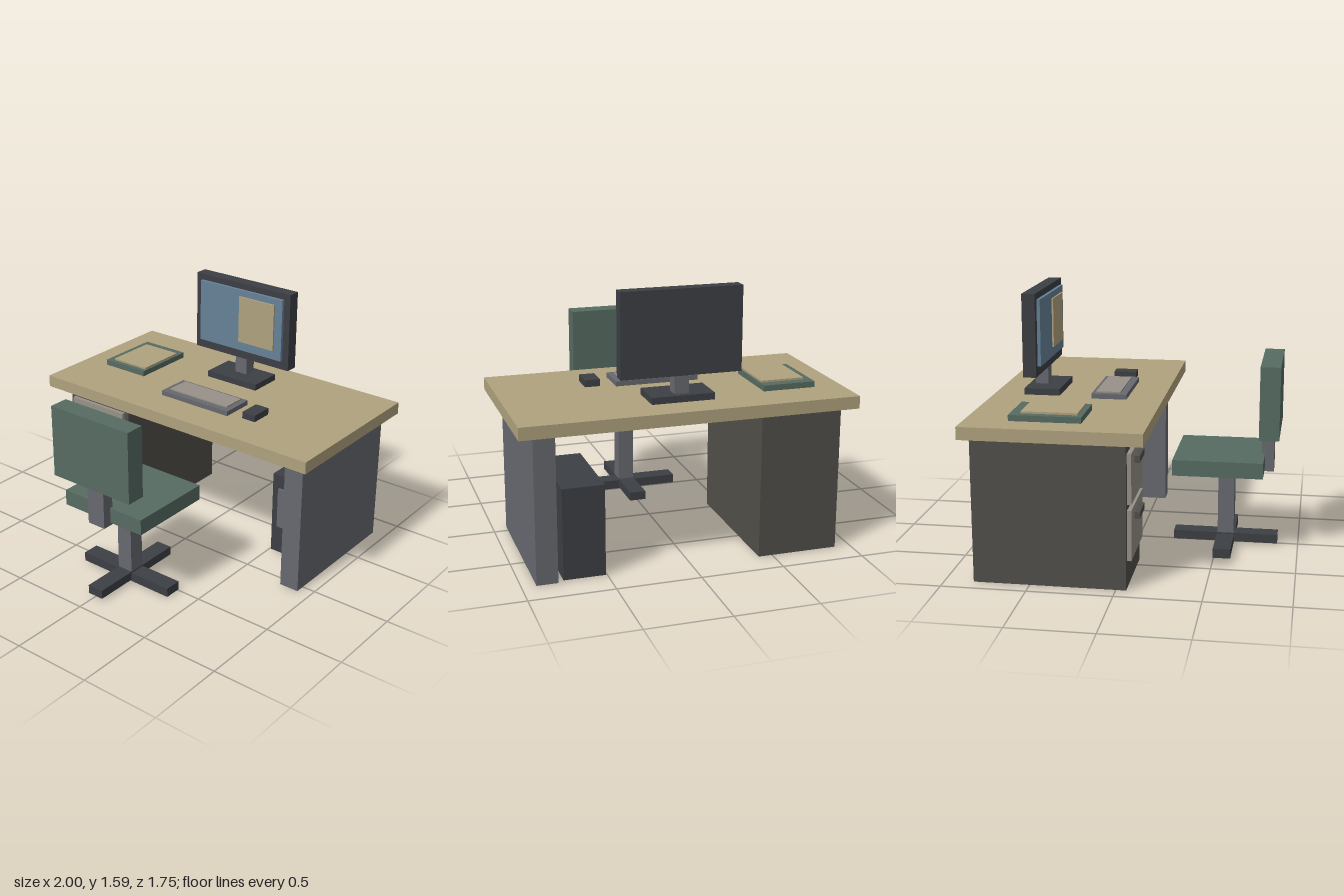
import * as THREE from 'three';

const paint = (color) => new THREE.MeshStandardMaterial({ color });

export function createModel() {
  const mat = {
    wood: paint(0xb0a27e), cabinet: paint(0x514f4a), drawer: paint(0x979188),
    steel: paint(0x67696f), dark: paint(0x3c3f44), fabric: paint(0x566b62), blue: paint(0x658297),
  };
  const model = new THREE.Group();
  model.name = 'workstation';

  const group = (name) => {
    const g = new THREE.Group();
    g.name = name;
    model.add(g);
    return g;
  };

  // Box given by its extents along each axis
  const box = (parent, name, material, [x0, x1], [y0, y1], [z0, z1]) => {
    const mesh = new THREE.Mesh(new THREE.BoxGeometry(x1 - x0, y1 - y0, z1 - z0), material);
    mesh.position.set((x0 + x1) / 2, (y0 + y1) / 2, (z0 + z1) / 2);
    mesh.name = name;
    parent.add(mesh);
  };

  // Desk: top, drawer cabinet on one side, solid panel on the other
  const desk = group('desk');
  const top = 0.945;
  box(desk, 'deskTop', mat.wood, [-1, 1], [0.87, top], [-0.875, 0.17]);
  box(desk, 'drawerCabinet', mat.cabinet, [-0.905, -0.415], [0, 0.87], [-0.83, 0.06]);
  box(desk, 'sidePanel', mat.steel, [0.79, 0.915], [0, 0.87], [-0.83, 0.06]);
  [['lower', 0.165], ['upper', 0.498]].forEach(([level, y]) => {
    box(desk, `${level}Drawer`, mat.drawer, [-0.872, -0.445], [y, y + 0.298], [0.06, 0.085]);
    box(desk, `${level}Handle`, mat.cabinet, [-0.755, -0.565], [y + 0.213, y + 0.253], [0.085, 0.115]);
  });

  // Monitor
  const monitor = group('monitor');
  box(monitor, 'monitorBase', mat.dark, [-0.18, 0.197], [top, 0.985], [-0.687, -0.467]);
  box(monitor, 'monitorNeck', mat.steel, [-0.035, 0.052], [0.985, 1.09], [-0.65, -0.57]);
  box(monitor, 'monitorCasing', mat.dark, [-0.353, 0.369], [1.09, 1.592], [-0.65, -0.57]);
  box(monitor, 'screen', mat.blue, [-0.309, 0.325], [1.15, 1.553], [-0.57, -0.55]);
  box(monitor, 'screenWindow', mat.wood, [0.003, 0.27], [1.21, 1.513], [-0.55, -0.54]);

  // Keyboard and mouse
  const input = group('inputDevices');
  box(input, 'keyboard', mat.steel, [-0.224, 0.286], [top, 0.975], [-0.262, -0.048]);
  box(input, 'keys', mat.drawer, [-0.19, 0.25], [0.975, 0.983], [-0.24, -0.09]);
  box(input, 'mouse', mat.dark, [0.375, 0.467], [top, 0.987], [-0.225, -0.083]);

  // Folder with papers
  const folder = group('folder');
  box(folder, 'folderCover', mat.fabric, [-0.83, -0.508], [top, 0.98], [-0.622, -0.203]);
  box(folder, 'papers', mat.wood, [-0.783, -0.518], [0.98, 0.992], [-0.56, -0.233]);

  // Computer tower under the desk
  const tower = group('computerTower');
  box(tower, 'towerCase', mat.dark, [0.508, 0.755], [0, 0.545], [-0.805, -0.245]);
  box(tower, 'towerFront', mat.steel, [0.555, 0.706], [0.19, 0.457], [-0.245, -0.23]);

  // Chair on a crossed foot, facing the desk
  const chair = group('chair');
  box(chair, 'footCrossbar', mat.dark, [-0.325, 0.343], [0.003, 0.06], [0.495, 0.602]);
  box(chair, 'footLengthBar', mat.dark, [-0.044, 0.061], [0.013, 0.068], [0.225, 0.872]);
  box(chair, 'column', mat.steel, [-0.043, 0.06], [0.06, 0.5], [0.5, 0.6]);
  box(chair, 'seat', mat.fabric, [-0.285, 0.302], [0.5, 0.597], [0.24, 0.785]);
  box(chair, 'backSupport', mat.steel, [-0.053, 0.069], [0.483, 0.738], [0.765, 0.84]);
  box(chair, 'backrest', mat.fabric, [-0.28, 0.296], [0.737, 1.182], [0.755, 0.875]);

  return model;
}
